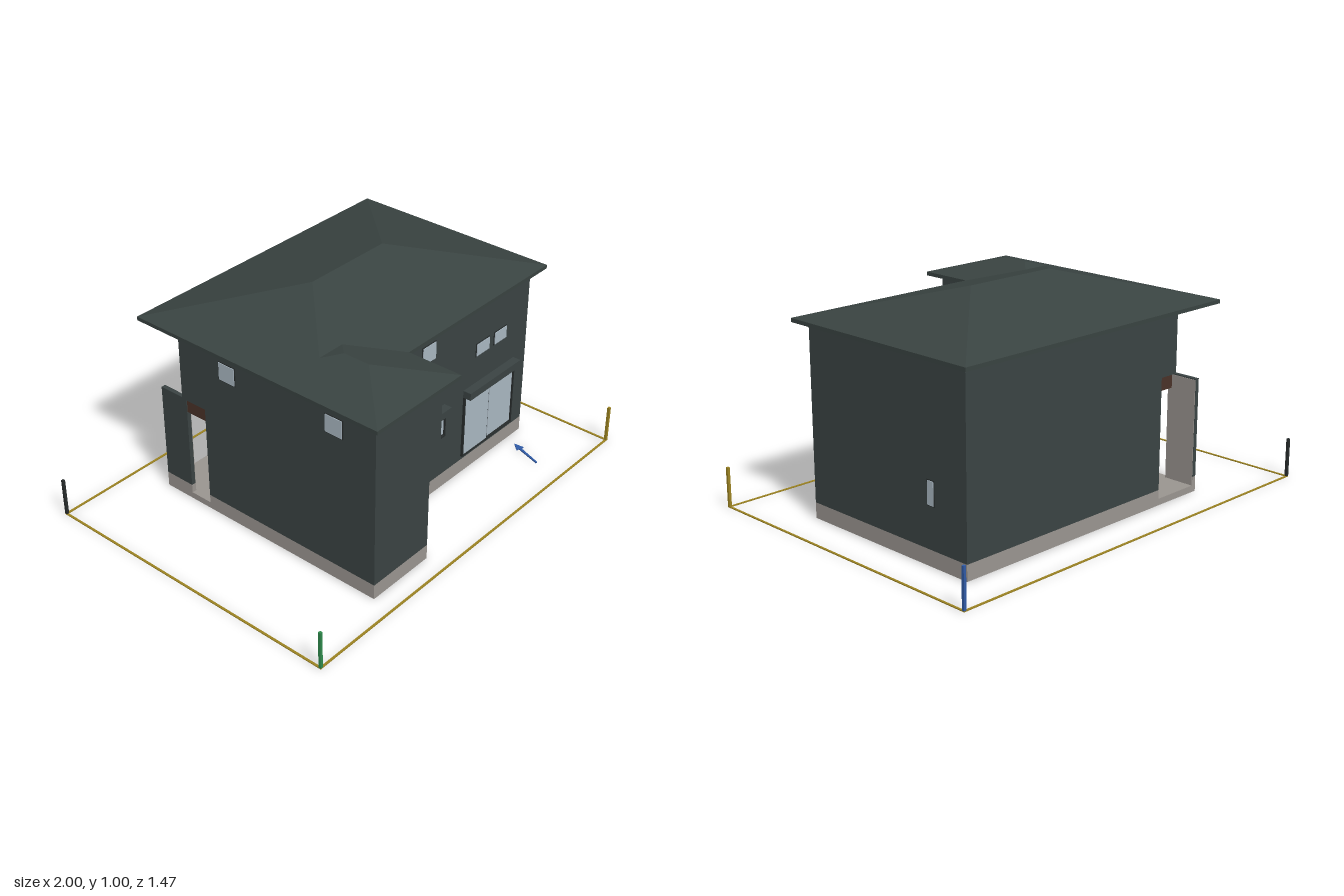
import * as THREE from 'three';

const paint = (name, hex) => {
  const m = new THREE.MeshStandardMaterial({ color: hex });
  m.name = name;
  return m;
};

export function createModel() {
  const wall = paint('wall slate', 0x3a4343);
  const roof = paint('roof slate', 0x394341);
  const concrete = paint('concrete grey', 0x9a9590);
  const brown = paint('soffit brown', 0x4a3228);
  const glass = paint('window glass', 0xa9b7c1);
  const dark = paint('frame black', 0x272c2c);
  const gold = paint('boundary gold', 0x9c8322);
  const green = paint('marker green', 0x2f8a4c);
  const blue = paint('marker blue', 0x2f5aa6);

  const model = new THREE.Group();
  model.name = 'house';

  const add = (name, geo, mat) => {
    const mesh = new THREE.Mesh(geo, mat);
    mesh.name = name;
    model.add(mesh);
    return mesh;
  };
  // Box given by its limits on each axis
  const box = (name, mat, x0, x1, y0, y1, z0, z1) => {
    const g = new THREE.BoxGeometry(x1 - x0, y1 - y0, z1 - z0);
    g.translate((x0 + x1) / 2, (y0 + y1) / 2, (z0 + z1) / 2);
    return add(name, g, mat);
  };
  // Upright prism over a floor plan of [x, z] corners, with an optional hole
  const prism = (name, mat, plan, y0, y1, hole) => {
    const pts = (p) => p.map(([x, z]) => new THREE.Vector2(x, -z));
    const shape = new THREE.Shape(pts(plan));
    if (hole) shape.holes.push(new THREE.Path(pts(hole)));
    const g = new THREE.ExtrudeGeometry(shape, { depth: y1 - y0, bevelEnabled: false });
    g.rotateX(-Math.PI / 2);
    g.translate(0, y0, 0);
    return add(name, g, mat);
  };

  // Floor plan: L shape with a porch cut from the back left corner
  const plan = (wingX, porchZ, t = 0) => [
    [-0.56 + t, 0.63 - t], [wingX - t, 0.63 - t], [wingX - t, 0.37 - t], [0.81 - t, 0.37 - t],
    [0.81 - t, -0.55 + t], [-0.31 + t, -0.55 + t], [-0.31 + t, porchZ + t], [-0.56 + t, porchZ + t],
  ];
  prism('foundation', concrete, plan(-0.22, -0.29), 0, 0.07, plan(-0.22, -0.29, 0.035));
  prism('floorUnderside', brown, plan(-0.22, -0.29, 0.034), 0.05, 0.069);
  prism('lowerWalls', wall, plan(-0.22, -0.29), 0.07, 0.51);
  prism('upperWalls', wall, plan(-0.155, -0.425), 0.51, 0.85);

  // Overhang beam beside the front wing
  box('wingBeam', wall, -0.225, -0.165, 0.45, 0.51, 0.365, 0.62);

  // Porch: slab, entrance floor, side screen, beam, ceiling and door
  box('porchSlab', concrete, -0.56, -0.31, 0, 0.03, -0.55, -0.29);
  box('entranceFloor', concrete, -0.555, -0.38, 0.003, 0.045, -0.29, -0.065);
  box('screenBase', concrete, -0.56, -0.54, 0.03, 0.07, -0.55, -0.4);
  box('porchScreen', wall, -0.56, -0.54, 0.07, 0.515, -0.55, -0.4);
  box('screenLining', concrete, -0.54, -0.537, 0.03, 0.51, -0.549, -0.401);
  box('porchBeam', brown, -0.557, -0.311, 0.45, 0.509, -0.422, -0.288);
  box('upperCeiling', brown, -0.56, -0.31, 0.836, 0.844, -0.55, -0.425);
  box('door', brown, -0.51, -0.38, 0.03, 0.4, -0.297, -0.289);

  // Hip roof over a rectangle: a flat fascia and a box drawn up to a ridge
  const hipRoof = (name, x0, x1, z0, z1) => {
    box(name + 'Fascia', roof, x0, x1, 0.845, 0.862, z0, z1);
    const w = x1 - x0, d = z1 - z0, half = Math.min(w, d) / 2, h = half * 0.26;
    const g = new THREE.BoxGeometry(w, h, d).toNonIndexed();
    const p = g.attributes.position;
    for (let i = 0; i < p.count; i++) {
      if (p.getY(i) < 0) continue;
      p.setX(i, Math.sign(p.getX(i)) * (w / 2 - half));
      p.setZ(i, Math.sign(p.getZ(i)) * (d / 2 - half));
    }
    g.computeVertexNormals();
    g.translate((x0 + x1) / 2, 0.862 + h / 2, (z0 + z1) / 2);
    add(name, g, roof);
  };
  hipRoof('mainRoof', -0.615, 0.86, -0.605, 0.42);
  hipRoof('wingRoof', -0.615, -0.105, 0.045, 0.68);

  // Thin plate on a wall: u runs along the wall, at is the wall plane, dir its outward sign
  const plate = (name, mat, axis, at, dir, u0, u1, y0, y1, out) => {
    const a = Math.min(at, at + dir * out), b = Math.max(at, at + dir * out);
    if (axis === 'z') box(name, mat, u0, u1, y0, y1, a, b);
    else box(name, mat, a, b, y0, y1, u0, u1);
  };
  // Small windows
  [
    ['z', 0.37, 1, 0.05, 0.135, 0.705, 0.785],
    ['z', 0.37, 1, 0.43, 0.52, 0.575, 0.633],
    ['z', 0.37, 1, 0.56, 0.645, 0.575, 0.633],
    ['x', -0.22, 1, 0.53, 0.6, 0.25, 0.355],
    ['x', 0.81, 1, -0.37, -0.337, 0.255, 0.355],
    ['x', -0.56, -1, -0.19, -0.105, 0.705, 0.785],
    ['x', -0.56, -1, 0.38, 0.465, 0.705, 0.785],
  ].forEach(([axis, at, dir, u0, u1, y0, y1]) => {
    plate('windowFrame', dark, axis, at, dir, u0 - 0.004, u1 + 0.004, y0 - 0.004, y1 + 0.004, 0.003);
    plate('windowPane', glass, axis, at, dir, u0, u1, y0, y1, 0.006);
  });

  // Sliding windows with a shutter box above and a rim around
  [[-0.03, 0.215, 0.275], [0.35, 0.72, 0.09]].forEach(([x0, x1, y0]) => {
    const mid = (x0 + x1) / 2;
    box('shutterBox', wall, x0, x1, 0.4, 0.435, 0.365, 0.41);
    box('slidingFrame', dark, x0, x1, y0, 0.4, 0.365, 0.374);
    box('frameSide', dark, x0, x0 + 0.006, y0, 0.4, 0.37, 0.382);
    box('frameSide', dark, x1 - 0.006, x1, y0, 0.4, 0.37, 0.382);
    box('frameSill', dark, x0, x1, y0, y0 + 0.006, 0.37, 0.382);
    box('leftPane', glass, x0 + 0.008, mid - 0.004, y0 + 0.008, 0.396, 0.373, 0.379);
    box('rightPane', glass, mid + 0.004, x1 - 0.01, y0 + 0.014, 0.386, 0.373, 0.377);
  });

  // Plot boundary rails and corner posts
  const bx = 1, bz = 0.735, r = 0.01;
  for (const s of [-1, 1]) {
    const x = s * (bx - r / 2), z = s * (bz - r / 2);
    box('boundaryRail', gold, x - r / 2, x + r / 2, 0, 0.004, -bz, bz);
    box('boundaryRail', gold, -bx, bx, 0, 0.004, z - r / 2, z + r / 2);
  }
  [[-1, 1, green], [1, 1, gold], [1, -1, blue], [-1, -1, dark]].forEach(([sx, sz, mat]) => {
    const x = sx * (bx - 0.006), z = sz * (bz - 0.006);
    box('cornerPost', mat, x - 0.006, x + 0.006, 0, 0.18, z - 0.006, z + 0.006);
  });

  // Flat arrow on the ground pointing at the front wall
  const arrow = prism('groundArrow', blue, [
    [-0.004, 0.17], [0.004, 0.17], [0.006, 0.045], [0.02, 0.045],
    [0, 0], [-0.02, 0.045], [-0.006, 0.045],
  ], 0, 0.005);
  arrow.position.set(0.69, 0, 0.43);
  arrow.rotation.y = -0.33;

  return model;
}
